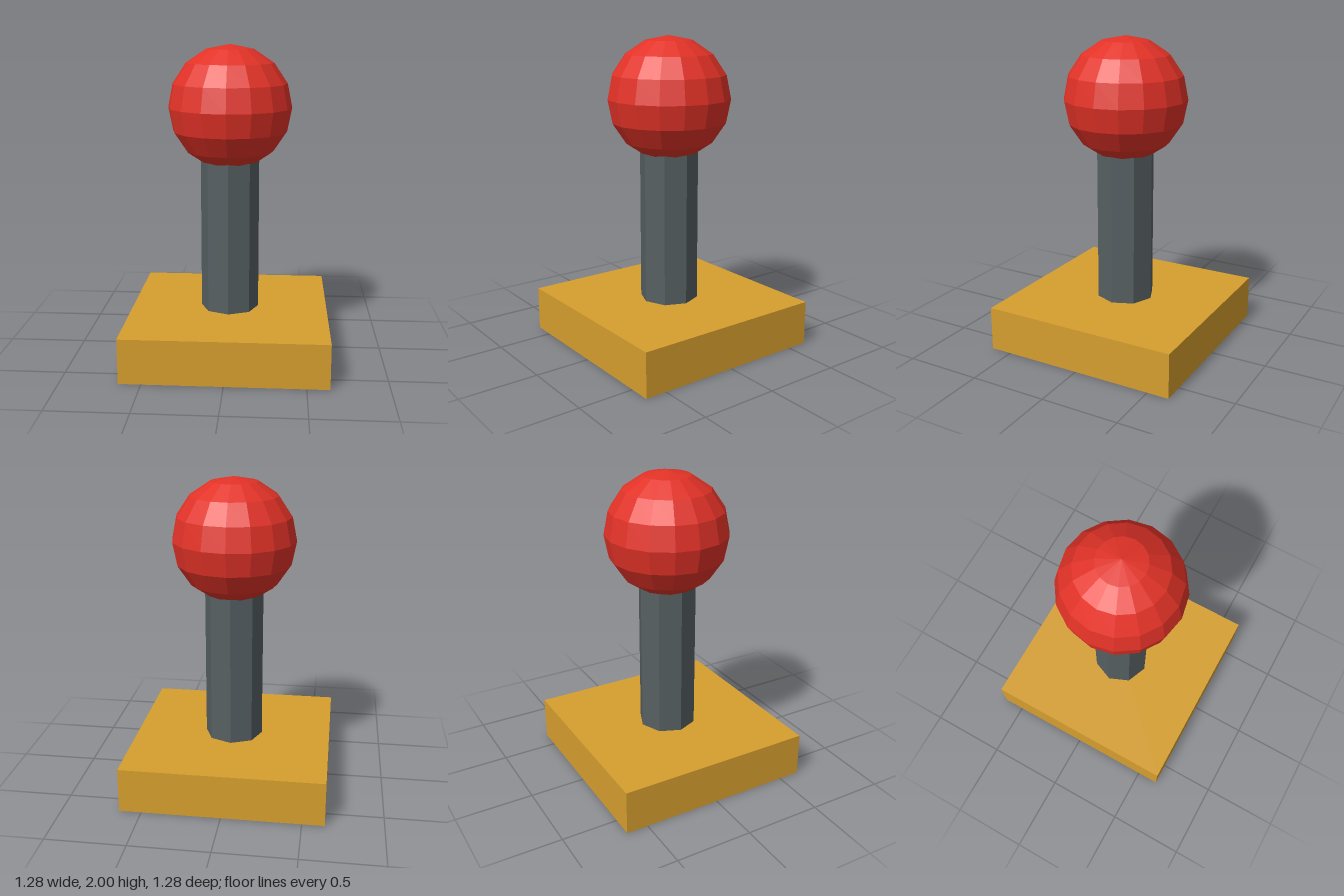
import * as THREE from 'three';

const flat = (name, color) => {
  const material = new THREE.MeshStandardMaterial({ color, flatShading: true });
  material.name = name;
  return material;
};

export function createModel() {
  const group = new THREE.Group();
  group.name = 'ballTopLever';

  const add = (name, geometry, material, y) => {
    const mesh = new THREE.Mesh(geometry, material);
    mesh.name = name;
    mesh.position.y = y;
    group.add(mesh);
  };

  // Square base slab
  const baseHeight = 0.287;
  add('base', new THREE.BoxGeometry(1.28, baseHeight, 1.28), flat('ochre', 0xd69e2e), baseHeight / 2);

  // Octagonal shaft, its top end sunk into the knob
  const shaftTop = 1.3;
  const shaftHeight = shaftTop - baseHeight;
  add('shaft', new THREE.CylinderGeometry(0.188, 0.188, shaftHeight, 8), flat('slate grey', 0x565f62), baseHeight + shaftHeight / 2);

  // Faceted ball knob
  const knobRadius = 0.393;
  add('knob', new THREE.SphereGeometry(knobRadius, 16, 8), flat('red', 0xe23227), 2 - knobRadius);

  return group;
}
